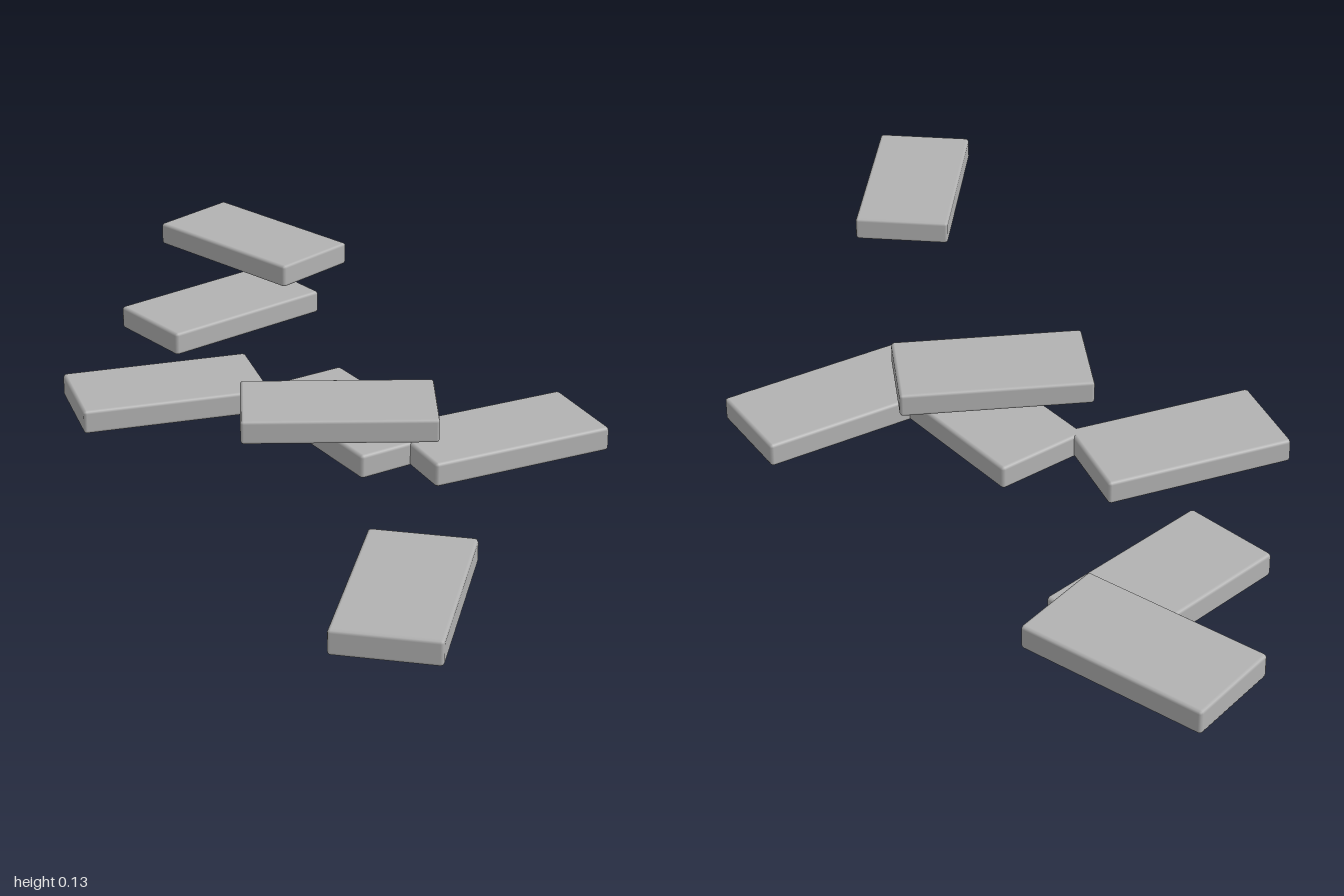
import * as THREE from 'three';
import { RoundedBoxGeometry } from 'three/addons/geometries/RoundedBoxGeometry.js';

export function createModel() {
  const group = new THREE.Group();
  group.name = 'scatteredBricks';

  const stone = new THREE.MeshStandardMaterial({ color: 0xb2b2b2 });
  stone.name = 'grey stone';

  // One flat brick with slightly bevelled edges, shared by all
  const height = 0.06;
  const brick = new RoundedBoxGeometry(0.468, height, 0.242, 1, 0.008);

  // Bottom heights of the two layers
  const LOW = 0;
  const HIGH = 0.067;

  // x, z, layer, turn about y
  const bricks = [
    [-0.631, -0.83, HIGH, -0.229],
    [-0.545, -0.525, LOW, 1.208],
    [-0.378, -0.002, LOW, 0.816],
    [0.095, -0.088, LOW, -0.475],
    [0.447, -0.185, LOW, 0.983],
    [0.115, 0.005, HIGH, 0.555],
    [0.691, 0.733, HIGH, -1.242],
  ];

  bricks.forEach(([x, z, bottom, turn], i) => {
    const mesh = new THREE.Mesh(brick, stone);
    mesh.name = `brick${i + 1}`;
    mesh.position.set(x, bottom + height / 2, z);
    mesh.rotation.y = turn;
    group.add(mesh);
  });

  return group;
}
